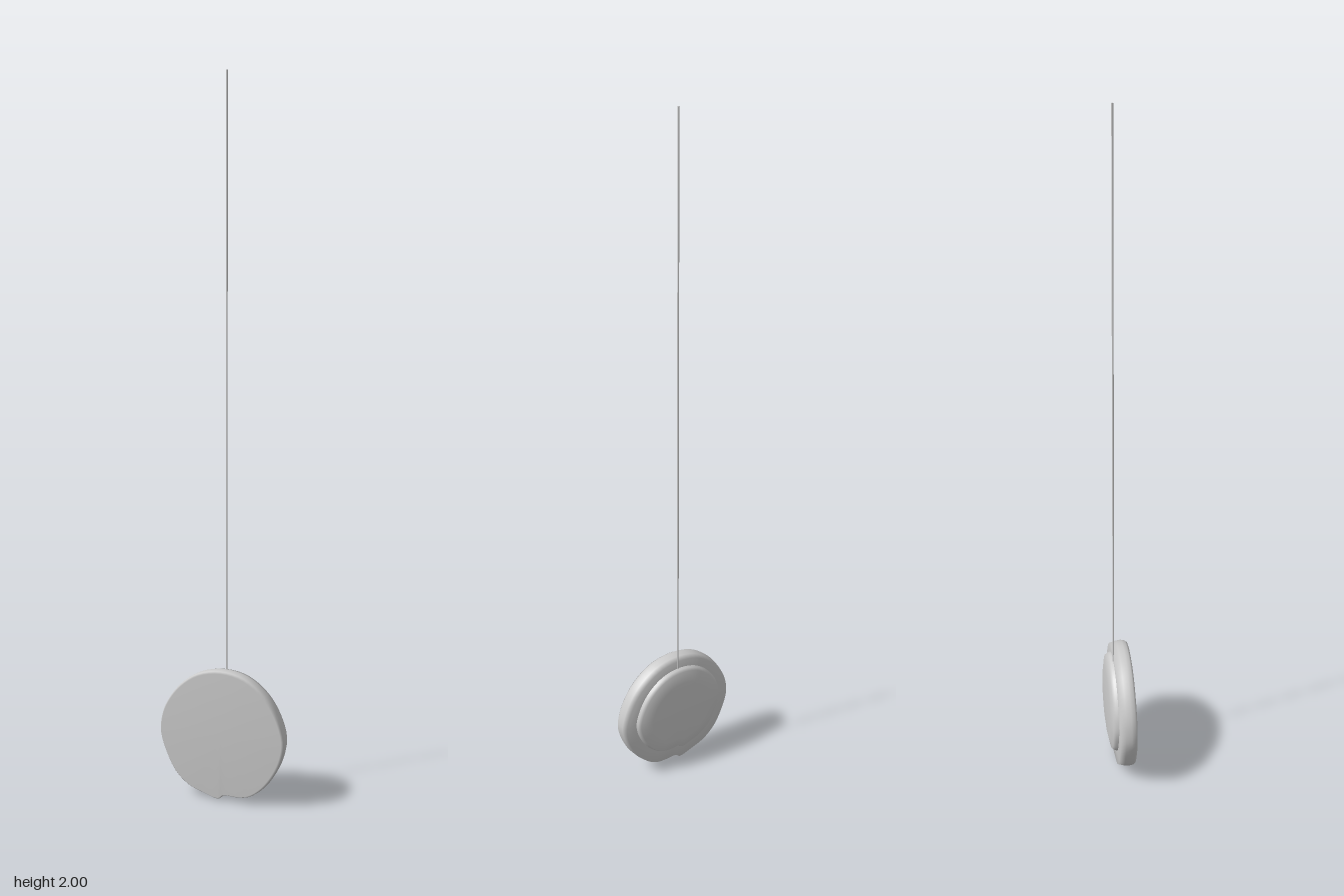
import * as THREE from 'three';

const CY = 0.19;

// Slightly uneven round outline, clockwise from the top, with a small nick at the bottom
const outline = new THREE.CatmullRomCurve3([
  [0, 0.379], [0.07, 0.366], [0.13, 0.322], [0.167, 0.266], [0.187, 0.2], [0.181, 0.15],
  [0.16, 0.1], [0.125, 0.052], [0.085, 0.022], [0.05, 0.015], [0.008, 0.014], [-0.008, 0.002],
  [-0.05, 0.012], [-0.1, 0.03], [-0.14, 0.065], [-0.165, 0.11], [-0.186, 0.175],
  [-0.182, 0.228], [-0.165, 0.272], [-0.125, 0.325], [-0.07, 0.364],
].map(([x, y]) => new THREE.Vector3(x, y - CY, 0)), true, 'centripetal');

// Lofts scaled copies of the outline; profile is [scale, z] from front to back
function loft(profile, centreY, steps = 84) {
  const positions = [], index = [];
  for (const [s, z] of profile) {
    for (let j = 0; j < steps; j++) {
      const p = outline.getPoint(j / steps);
      positions.push(p.x * s, p.y * s + centreY, z);
    }
  }
  for (let i = 0; i < profile.length - 1; i++) {
    for (let j = 0; j < steps; j++) {
      const k = (j + 1) % steps;
      const a = i * steps + j, b = i * steps + k;
      index.push(a, b, a + steps, b, b + steps, a + steps);
    }
  }
  const geometry = new THREE.BufferGeometry();
  geometry.setAttribute('position', new THREE.Float32BufferAttribute(positions, 3));
  geometry.setIndex(index);
  geometry.computeVertexNormals();
  return geometry;
}

export function createModel() {
  const group = new THREE.Group();
  const material = new THREE.MeshStandardMaterial({ color: 0xcccccc });
  const add = (name, geometry) => {
    const mesh = new THREE.Mesh(geometry, material);
    mesh.name = name;
    group.add(mesh);
    return mesh;
  };

  // Main disc with a flat face and rounded rim
  add('disc', loft([
    [0.001, 0.035], [0.965, 0.035], [0.99, 0.029], [1, 0.018], [0.99, 0.002],
    [0.965, -0.015], [0.7, -0.015],
  ], CY));

  // Smaller raised plate on the back
  add('backPlate', loft([
    [0.79, -0.014], [0.775, -0.022], [0.745, -0.03], [0.55, -0.037], [0.001, -0.037],
  ], 0.199));

  // Long thin cord hanging the disc
  add('cord', new THREE.CylinderGeometry(0.0025, 0.0025, 1.655, 8))
    .position.set(0, 1.1725, -0.0145);

  return group;
}
